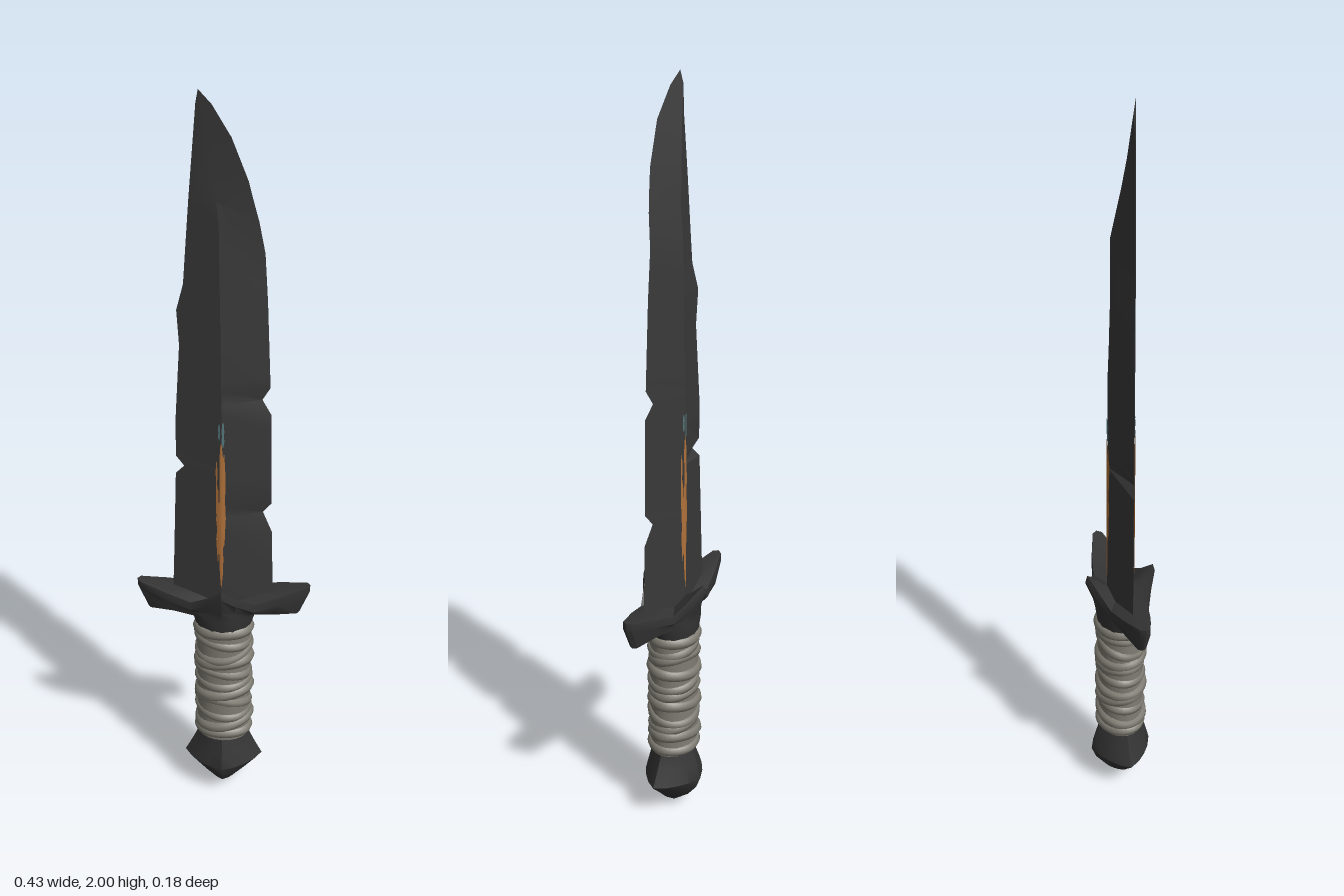
import * as THREE from 'three';
import { toCreasedNormals } from 'three/addons/utils/BufferGeometryUtils.js';

const TURN = 0.36; // the hilt is turned about the vertical axis

// Skin between equal-length rings, listed bottom to top, each anticlockwise seen from above
function loft(rings, crease) {
  const n = rings[0].length, index = [];
  for (let r = 0; r < rings.length - 1; r++) {
    for (let i = 0; i < n; i++) {
      const a = r * n + i, b = r * n + (i + 1) % n;
      index.push(a, b, a + n, b, b + n, a + n);
    }
  }
  const g = new THREE.BufferGeometry();
  g.setAttribute('position', new THREE.Float32BufferAttribute(rings.flat(2), 3));
  g.setIndex(index);
  return toCreasedNormals(g, crease);
}

// Linear lookup in a list of [y, value]
function lookup(list, y) {
  for (let i = 1; i < list.length; i++) {
    const [y0, v0] = list[i - 1], [y1, v1] = list[i];
    if (y <= y1) return v0 + (v1 - v0) * Math.max(0, (y - y0) / (y1 - y0));
  }
  return list[list.length - 1][1];
}

// Blade edges with chips, as [y, x] and [y, z]
const LEFT_X = [[0.63, -0.13], [0.72, -0.125], [1.02, -0.114], [1.047, -0.09], [1.07, -0.112], [1.16, -0.113],
  [1.38, -0.099], [1.47, -0.105], [1.54, -0.086], [1.75, -0.07], [1.97, -0.051], [2, -0.045]];
const RIGHT_X = [[0.63, 0.126], [0.86, 0.12], [0.915, 0.094], [0.945, 0.117], [1.2, 0.114], [1.238, 0.089],
  [1.275, 0.11], [1.5, 0.1], [1.62, 0.092], [1.7, 0.083], [1.8, 0.064], [1.9, 0.03], [1.97, -0.014], [2, -0.045]];
const LEFT_Z = [[0.63, 0.042], [1.6, 0.04], [2, 0.036]];
const RIGHT_Z = [[0.63, -0.037], [1.62, -0.03], [1.75, -0.003], [1.9, 0.024], [2, 0.036]];
const RIDGE_X = [[0.63, 0.01], [1.3, 0.01], [1.7, 0.004], [1.9, -0.02], [2, -0.045]];
const FRONT_Z = [[0.63, 0.035], [1.6, 0.036], [2, 0.036]];
const BACK_Z = [[0.63, -0.034], [1.3, -0.03], [1.6, -0.018], [1.8, 0.008], [2, 0.036]];

// Diamond section: right edge, back ridge, left edge, front ridge
function section(y) {
  const ridge = lookup(RIDGE_X, y);
  return [
    [lookup(RIGHT_X, y), y, lookup(RIGHT_Z, y)],
    [y < 1.3 ? -ridge : Math.max(ridge - 0.02, lookup(LEFT_X, y)), y, lookup(BACK_Z, y)],
    [lookup(LEFT_X, y), y, lookup(LEFT_Z, y)],
    [ridge, y, lookup(FRONT_Z, y)],
  ];
}

function bladeGeometry() {
  const ys = [...new Set([...LEFT_X, ...RIGHT_X, ...RIDGE_X].map(p => p[0]))].sort((a, b) => a - b);
  return loft(ys.map(section), 0.5);
}

// Thin streak lying on the blade; dx is the offset from the ridge
function streakGeometry(side, dx, width, y0, y1) {
  const pos = [], index = [], steps = 10;
  for (let i = 0; i <= steps; i++) {
    const t = i / steps, y = y0 + (y1 - y0) * t;
    const [R, B, L, F] = section(y);
    const ridge = side > 0 ? F : B;
    const half = width * (0.35 + 0.25 * Math.abs(Math.sin(i * 2.3 + y0 * 9))) * Math.min(1, 6 * t + 0.3, 6 * (1 - t) + 0.3);
    for (const s of [-1, 0, 1]) {
      const d = dx + s * half;
      const edge = d > 0 ? R : L;
      const k = d / (edge[0] - ridge[0]);
      pos.push(ridge[0] + d, y, ridge[2] + (edge[2] - ridge[2]) * Math.abs(k) + side * 0.002);
    }
    if (i < steps) for (const c of [0, 1]) {
      const a = i * 3 + c;
      index.push(a, a + 1, a + 3, a + 1, a + 4, a + 3);
    }
  }
  const g = new THREE.BufferGeometry();
  g.setAttribute('position', new THREE.Float32BufferAttribute(pos, 3));
  g.setIndex(index);
  g.computeVertexNormals();
  return g;
}

// Four-pointed guard with upswept points and a round collar below
function guardGeometry() {
  // x, z, top y, bottom y for one quarter
  const q = [[0.232, 0, 0.692, 0.606], [0.224, 0.014, 0.69, 0.606], [0.151, 0.038, 0.672, 0.612],
    [0.085, 0.053, 0.655, 0.618], [0.038, 0.074, 0.685, 0.63], [0, 0.096, 0.72, 0.64]];
  const flip = (list, sx, sz) => list.map(([x, z, t, b]) => [x * sx, z * sz, t, b]);
  const outline = [...flip(q, 1, -1), ...flip(q.slice(0, -1).reverse(), -1, -1),
    ...flip(q.slice(1), -1, 1), ...flip(q.slice(1, -1).reverse(), 1, 1)];
  const collar = (rx, rz, y) => outline.map(([x, z]) => {
    const a = Math.atan2(z / 0.8, x);
    return [rx * Math.cos(a), y, rz * Math.sin(a)];
  });
  return loft([
    collar(0, 0, 0.555),
    collar(0.072, 0.062, 0.555),
    collar(0.086, 0.068, 0.605),
    outline.map(([x, z, t, b]) => [x * 0.87, b, z * 0.78]),
    outline.map(([x, z, t, b]) => [x * 0.98, t - 0.022, z]),
    outline.map(([x, z, t]) => [x * 0.985, t, z * 0.94]),
    outline.map(([x, z, t]) => [x * 0.5, 0.65 + (t - 0.65) * 0.45, z * 0.5]),
    outline.map(() => [0, 0.655, 0]),
  ], 0.75);
}

// Faceted pommel: softened diamond section swelling, then narrowing to a point
function pommelGeometry() {
  const rows = [[0.004, 0, 0], [0.035, 0.042, 0.045], [0.07, 0.074, 0.072], [0.105, 0.108, 0.085],
    [0.15, 0.086, 0.074], [0.2, 0.064, 0.06], [0.225, 0.058, 0.054], [0.225, 0, 0]];
  rows[0][0] = 0;
  return loft(rows.map(([y, rx, rz]) => Array.from({ length: 16 }, (_, i) => {
    const a = i / 16 * Math.PI * 2, c = Math.cos(a), s = Math.sin(a);
    const k = 1 / Math.pow(Math.abs(c) ** 1.35 + Math.abs(s) ** 1.35, 1 / 1.35);
    return [rx * c * k, y, -rz * s * k];
  })), 0.6);
}

// One cloth turn around the grip, tilted and slightly uneven
function wrapGeometry(y, tilt, phase, radius) {
  const pts = Array.from({ length: 20 }, (_, i) => {
    const a = i / 20 * Math.PI * 2, w = 1 + 0.03 * Math.sin(3 * a + phase);
    return new THREE.Vector3(0.063 * w * Math.cos(a), y + tilt * Math.sin(a + phase), 0.051 * w * Math.sin(a));
  });
  return new THREE.TubeGeometry(new THREE.CatmullRomCurve3(pts, true), 40, radius, 8, true);
}

export function createModel() {
  const material = (name, color) => {
    const m = new THREE.MeshStandardMaterial({ color });
    m.name = name;
    return m;
  };
  const steel = material('dark steel', 0x393939);
  const iron = material('black iron', 0x343434);
  const cloth = material('grey cloth', 0x7f7d73);
  const rust = material('rust', 0xb0713a);
  const patina = material('patina', 0x55777a);
  rust.side = patina.side = THREE.DoubleSide;

  const model = new THREE.Group();
  model.name = 'dagger';
  const add = (parent, name, geometry, mat) => {
    const mesh = new THREE.Mesh(geometry, mat);
    mesh.name = name;
    parent.add(mesh);
    return mesh;
  };

  add(model, 'blade', bladeGeometry(), steel);

  // Rust and patina streaks along both ridges
  const streaks = [[0, 0.008, 0.7, 1.13], [-0.009, 0.006, 0.78, 1.0], [0.006, 0.006, 0.83, 1.1],
    [-0.003, 0.018, 0.8, 0.96], [-0.012, 0.004, 0.92, 1.08]];
  for (const side of [1, -1]) {
    for (const [dx, w, y0, y1] of streaks) add(model, 'rustStreak', streakGeometry(side, dx * side, w, y0, y1), rust);
    for (const [dx, y0, y1] of [[-0.005, 1.14, 1.185], [0.004, 1.12, 1.19]]) {
      add(model, 'patinaStreak', streakGeometry(side, dx * side, 0.005, y0, y1), patina);
    }
  }

  // Hilt
  const hilt = new THREE.Group();
  hilt.name = 'hilt';
  hilt.rotation.y = TURN;
  model.add(hilt);
  add(hilt, 'guard', guardGeometry(), iron);
  add(hilt, 'pommel', pommelGeometry(), iron);

  const core = add(hilt, 'gripCore', new THREE.CylinderGeometry(0.073, 0.073, 0.37, 24), cloth);
  core.position.y = 0.38;
  core.scale.z = 0.84;
  for (let i = 0; i < 11; i++) {
    const tilt = [0.004, 0.012, 0.008, 0.018, 0.01][i % 5];
    add(hilt, 'gripWrap', wrapGeometry(0.212 + i * 0.0342, tilt, i * 1.9, 0.0175 + 0.002 * Math.sin(i * 2)), cloth);
  }
  return model;
}
